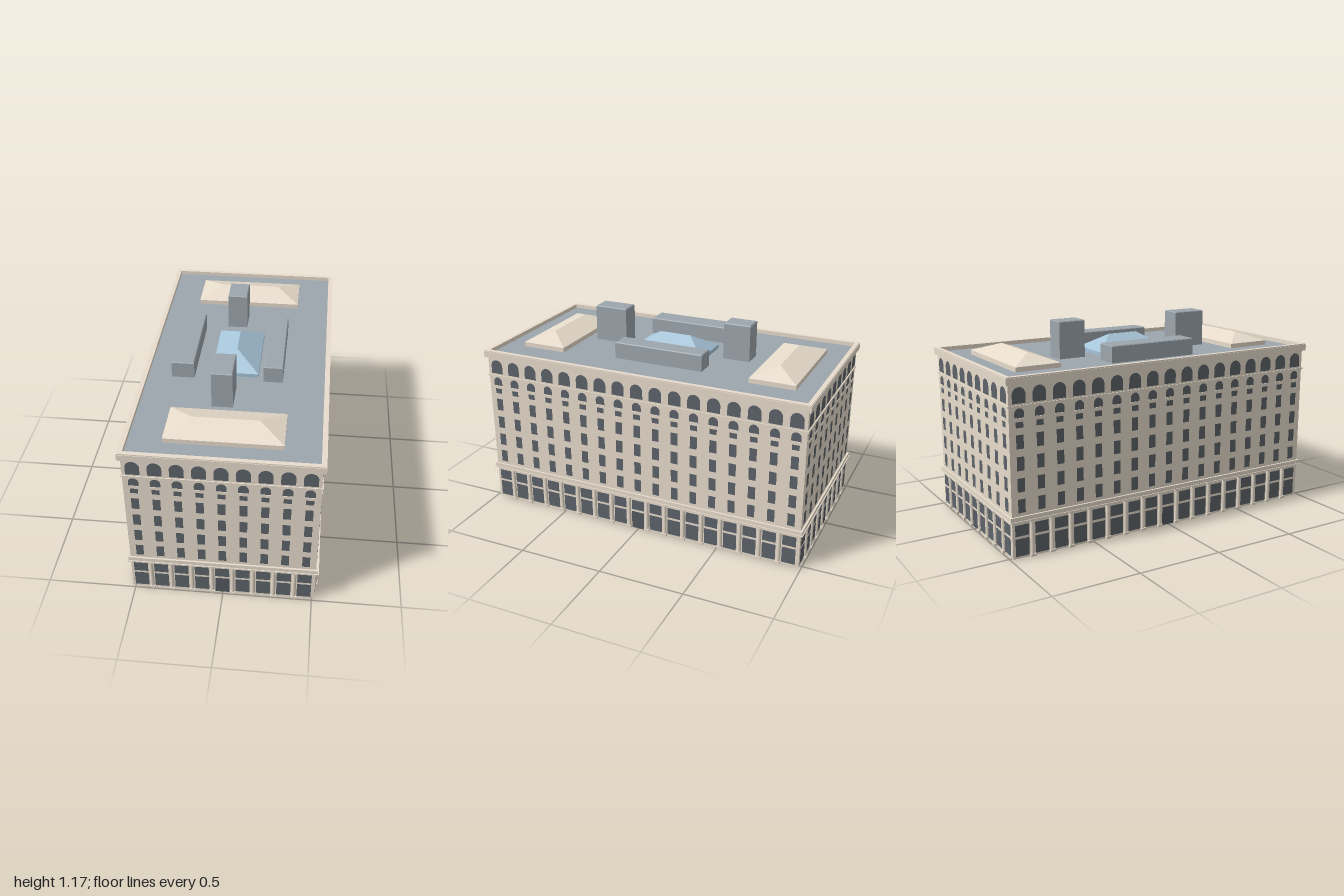
import * as THREE from 'three';
import { mergeGeometries } from 'three/addons/utils/BufferGeometryUtils.js';

const HX = 0.515, HZ = 0.984, DECK = 0.958, TOP = 0.976;

const stone = new THREE.MeshStandardMaterial({ color: 0xe7dccc, side: THREE.DoubleSide });
stone.name = 'stone';
const glass = new THREE.MeshStandardMaterial({ color: 0x5c6369, side: THREE.DoubleSide });
glass.name = 'windowGlass';
const doorMat = new THREE.MeshStandardMaterial({ color: 0x535960, side: THREE.DoubleSide });
doorMat.name = 'door';
const slate = new THREE.MeshStandardMaterial({ color: 0x9da6ad, side: THREE.DoubleSide });
slate.name = 'roofGrey';
const skyGlass = new THREE.MeshStandardMaterial({ color: 0xa6c4d8 });
skyGlass.name = 'skylightGlass';

function mesh(name, geo, mat) {
  const m = new THREE.Mesh(geo, mat);
  m.name = name;
  return m;
}

// Flat pane between two heights, optionally with a round-arched head
function pane(x, y0, y1, w, arched = false) {
  const r = w / 2, s = new THREE.Shape();
  s.moveTo(x - r, y0);
  s.lineTo(x + r, y0);
  if (arched) s.absarc(x, y1 - r, r, 0, Math.PI, false);
  else s.lineTo(x + r, y1).lineTo(x - r, y1);
  s.closePath();
  return new THREE.ShapeGeometry(s, 10).translate(0, 0, 0.002);
}

function box(x, y0, y1, w, d) {
  return new THREE.BoxGeometry(w, y1 - y0, d).translate(x, (y0 + y1) / 2, d / 2);
}

// One wall with its windows, columns and sills, facing +z at z = 0
function facade(name, width, bays) {
  const g = new THREE.Group();
  g.name = name;
  const step = width / bays, panes = [], trim = [], columns = [];
  for (let i = 0; i < bays; i++) {
    const x = (i - (bays - 1) / 2) * step;
    const isDoor = i === (bays - 1) / 2;
    // shopfront, set very slightly to one side of the bay
    const sx = x - 0.003;
    panes.push(pane(sx, 0.124, 0.187, 0.079));
    if (isDoor) g.add(mesh('door', pane(sx, 0, 0.11, 0.079), doorMat));
    else panes.push(pane(sx, 0.012, 0.11, 0.079));
    // upper storeys
    for (const y of [0.253, 0.367, 0.483, 0.6]) panes.push(pane(x, y, y + 0.075, 0.042));
    panes.push(pane(x, 0.712, 0.743, 0.042));
    panes.push(pane(x, 0.764, 0.815, 0.055, true));
    panes.push(pane(x, 0.84, 0.925, 0.076, true));
    trim.push(box(x, 0.758, 0.763, 0.055, 0.004));
    // engaged column between bays
    if (i > 0) {
      const cx = sx - step / 2;
      columns.push(new THREE.CylinderGeometry(0.012, 0.012, 0.19, 12, 1, true, -Math.PI / 2, Math.PI)
        .translate(cx, 0.108, 0));
      trim.push(box(cx, 0, 0.014, 0.03, 0.015), box(cx, 0.197, 0.207, 0.03, 0.015));
    }
  }
  g.add(mesh('wall', new THREE.PlaneGeometry(width, DECK).translate(0, DECK / 2, 0), stone));
  g.add(mesh('windows', mergeGeometries(panes), glass));
  g.add(mesh('sillsAndCaps', mergeGeometries(trim), stone));
  g.add(mesh('columns', mergeGeometries(columns), stone));
  return g;
}

// Horizontal frame around the building; out and inn are offsets from the walls
function band(name, y0, y1, out, inn = 0) {
  const rect = (Type, o) => {
    const x = HX + o, z = HZ + o;
    return new Type([[-x, -z], [x, -z], [x, z], [-x, z]].map(p => new THREE.Vector2(...p)));
  };
  const s = rect(THREE.Shape, out);
  s.holes.push(rect(THREE.Path, inn));
  const geo = new THREE.ExtrudeGeometry(s, { depth: y1 - y0, bevelEnabled: false });
  geo.rotateX(-Math.PI / 2).translate(0, y0, 0);
  return mesh(name, geo, stone);
}

// Flat-faced loft through rectangles given as [x0, x1, z0, z1, y]
function loft(rings) {
  const corners = ([x0, x1, z0, z1, y]) => [[x0, y, z1], [x1, y, z1], [x1, y, z0], [x0, y, z0]];
  const pos = [];
  for (let r = 0; r < rings.length - 1; r++) {
    const lo = corners(rings[r]), hi = corners(rings[r + 1]);
    for (let i = 0; i < 4; i++) {
      const j = (i + 1) % 4;
      pos.push(...lo[i], ...lo[j], ...hi[j], ...lo[i], ...hi[j], ...hi[i]);
    }
  }
  const geo = new THREE.BufferGeometry();
  geo.setAttribute('position', new THREE.Float32BufferAttribute(pos, 3));
  geo.computeVertexNormals();
  return geo;
}

// Rooftop block with a slightly bevelled top
function block(name, x0, x1, z0, z1, y) {
  const b = 0.005, xm = (x0 + x1) / 2, zm = (z0 + z1) / 2;
  return mesh(name, loft([
    [x0, x1, z0, z1, DECK], [x0, x1, z0, z1, y - b],
    [x0 + b, x1 - b, z0 + b, z1 - b, y], [xm, xm, zm, zm, y],
  ]), slate);
}

export function createModel() {
  const model = new THREE.Group();
  model.name = 'building';

  // Walls
  const walls = [
    ['frontFacade', HX * 2, 9, 0, HZ], ['leftFacade', HZ * 2, 17, 1, HX],
    ['backFacade', HX * 2, 9, 2, HZ], ['rightFacade', HZ * 2, 17, 3, HX],
  ];
  for (const [name, width, bays, turn, dist] of walls) {
    const f = facade(name, width, bays);
    f.rotation.y = turn * Math.PI / 2;
    f.position.set(Math.sin(f.rotation.y) * dist, 0, Math.cos(f.rotation.y) * dist);
    model.add(f);
  }

  // String courses, cornice and parapet
  model.add(
    band('lowerLedge', 0.206, 0.211, 0.016),
    band('lowerBand', 0.211, 0.234, 0.011),
    band('upperBand', 0.821, 0.831, 0.006),
    band('cornice', 0.94, TOP, 0.016, -0.012),
    band('parapetCap', TOP, 0.982, 0.013, -0.012),
  );

  // Roof deck
  model.add(mesh('roofDeck',
    new THREE.PlaneGeometry(HX * 2, HZ * 2).rotateX(-Math.PI / 2).translate(0, DECK, 0), slate));

  // Hipped roofs at both ends
  for (const [name, z0, z1] of [['frontHipRoof', 0.584, 0.856], ['backHipRoof', -0.852, -0.582]]) {
    const zm = (z0 + z1) / 2;
    model.add(mesh(name, loft([
      [-0.32, 0.312, z0, z1, DECK], [-0.32, 0.312, z0, z1, 0.985],
      [-0.185, 0.175, zm, zm, 1.034],
    ]), stone));
  }

  // Skylight
  model.add(mesh('skylight', loft([
    [-0.142, 0.126, -0.229, 0.223, DECK], [-0.142, 0.126, -0.229, 0.223, 0.98],
    [-0.008, -0.008, -0.098, 0.092, 1.062],
  ]), skyGlass));

  // Plant rooms and lift towers
  model.add(
    block('rightPlantRoom', -0.367, -0.237, -0.288, 0.259, 1.056),
    block('leftPlantRoom', 0.156, 0.267, -0.288, 0.259, 1.056),
    block('frontTower', -0.106, 0.011, 0.317, 0.521, 1.174),
    block('backTower', -0.106, 0.011, -0.48, -0.318, 1.174),
  );
  return model;
}
